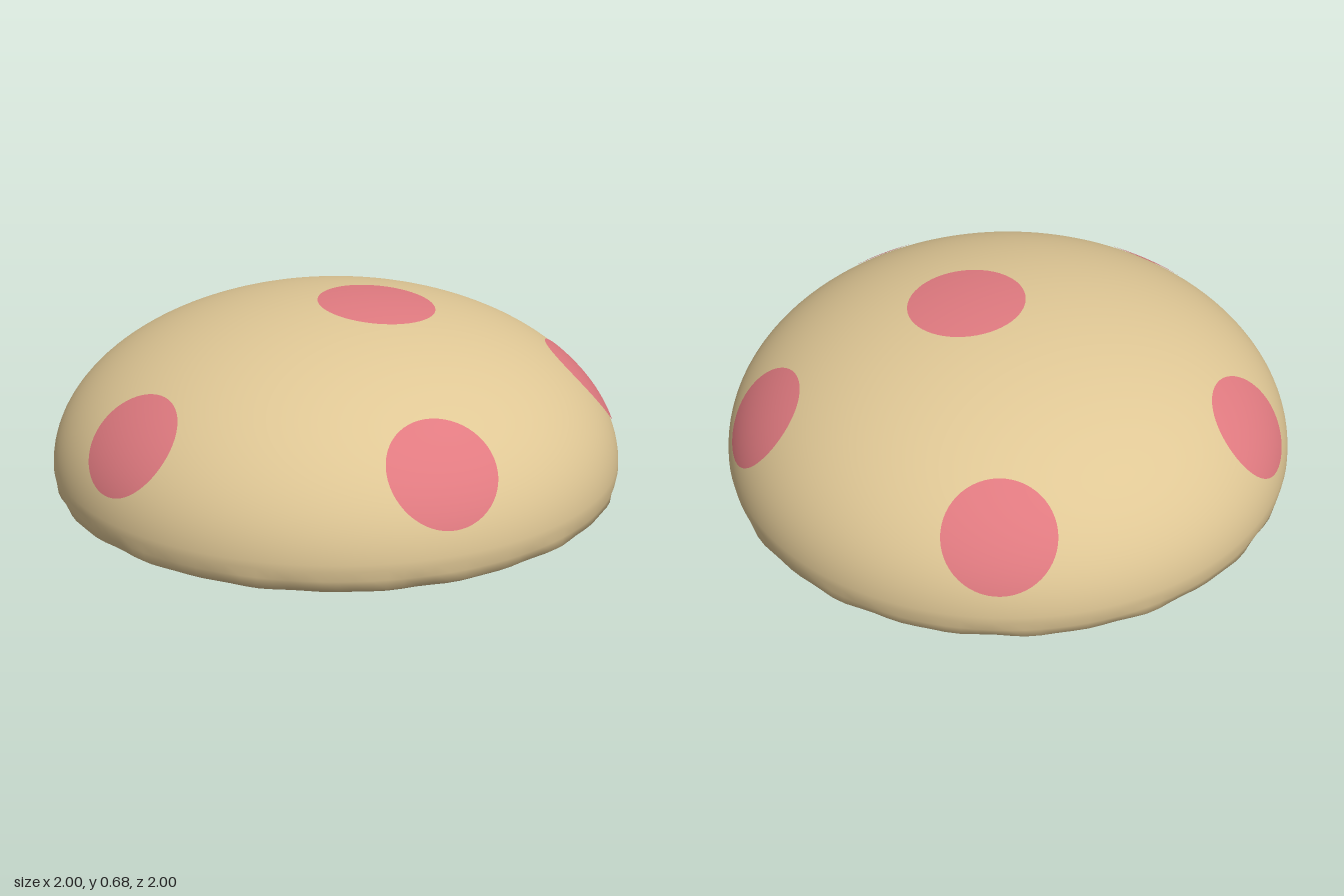
import * as THREE from 'three';
import { mergeVertices } from 'three/addons/utils/BufferGeometryUtils.js';

const HEIGHT = 0.58; // vertical semi-axis of the dome
const BASE = 0.1;    // height of its widest ring

// Round patch laid onto the dome: centre, facing direction, radius
function spotGeometry(centre, normal, radius) {
  const geo = new THREE.RingGeometry(0, radius, 56, 8);
  const turn = new THREE.Quaternion().setFromUnitVectors(new THREE.Vector3(0, 0, 1), normal);
  const pos = geo.attributes.position, nor = geo.attributes.normal;
  const lift = 1.004;
  for (let i = 0; i < pos.count; i++) {
    const p = new THREE.Vector3().fromBufferAttribute(pos, i).applyQuaternion(turn).add(centre);
    // slide along the facing direction until the point meets the ellipsoid
    const q = new THREE.Vector3(p.x, (p.y - BASE) / HEIGHT, p.z);
    const d = new THREE.Vector3(normal.x, normal.y / HEIGHT, normal.z);
    const a = d.dot(d), b = q.dot(d), c = q.dot(q) - lift * lift;
    p.addScaledVector(normal, (-b + Math.sqrt(Math.max(0, b * b - a * c))) / a);
    pos.setXYZ(i, p.x, p.y, p.z);
    const n = new THREE.Vector3(p.x, (p.y - BASE) / HEIGHT ** 2, p.z).normalize();
    nor.setXYZ(i, n.x, n.y, n.z);
  }
  return geo;
}

export function createModel() {
  const group = new THREE.Group();
  const tan = new THREE.MeshStandardMaterial({ color: 0xdfc795 });
  tan.name = 'tan';
  const pink = new THREE.MeshStandardMaterial({ color: 0xe07a80 });
  pink.name = 'pink';
  const add = (name, geo, mat) => {
    const mesh = new THREE.Mesh(geo, mat);
    mesh.name = name;
    group.add(mesh);
  };

  // Dome with a rolled lower rim
  const profile = [[0.92, 0], [0.955, 0.012], [0.985, 0.033], [0.994, 0.065]]
    .map(([r, y]) => new THREE.Vector2(r, y));
  for (let i = 0; i <= 40; i++) {
    const t = (i / 40) * Math.PI / 2;
    profile.push(new THREE.Vector2(i === 40 ? 0 : Math.cos(t), BASE + HEIGHT * Math.sin(t)));
  }
  let dome = new THREE.LatheGeometry(profile, 120);
  dome.deleteAttribute('uv');
  dome.deleteAttribute('normal');
  dome = mergeVertices(dome);
  // slightly uneven rim
  const pos = dome.attributes.position;
  for (let i = 0; i < pos.count; i++) {
    const x = pos.getX(i), y = pos.getY(i), z = pos.getZ(i);
    if (y < 0.005 || y > 0.05) continue;
    const a = Math.atan2(x, z);
    const k = 1 + 0.003 * (Math.sin(a * 17) + Math.sin(a * 29 + 1));
    pos.setXYZ(i, x * k, y, z * k);
  }
  dome.computeVertexNormals();
  add('dome', dome, tan);

  // Flat underside
  add('underside', new THREE.CircleGeometry(0.92, 120).rotateX(Math.PI / 2), tan);

  // Five spots around the side
  for (let i = 0; i < 5; i++) {
    const a = THREE.MathUtils.degToRad(1 + 72 * i);
    const centre = new THREE.Vector3(0.857 * Math.sin(a), 0.34, 0.857 * Math.cos(a));
    const normal = new THREE.Vector3(0.746 * Math.sin(a), 0.666, 0.746 * Math.cos(a)).normalize();
    add('sideSpot' + (i + 1), spotGeometry(centre, normal, 0.188), pink);
  }

  // Larger spot near the crown
  const rise = HEIGHT * Math.sqrt(1 - 0.12 ** 2 - 0.08 ** 2);
  add('crownSpot', spotGeometry(
    new THREE.Vector3(0.12, BASE + rise, 0.08),
    new THREE.Vector3(0.12, rise / HEIGHT ** 2, 0.08).normalize(), 0.205), pink);

  return group;
}
